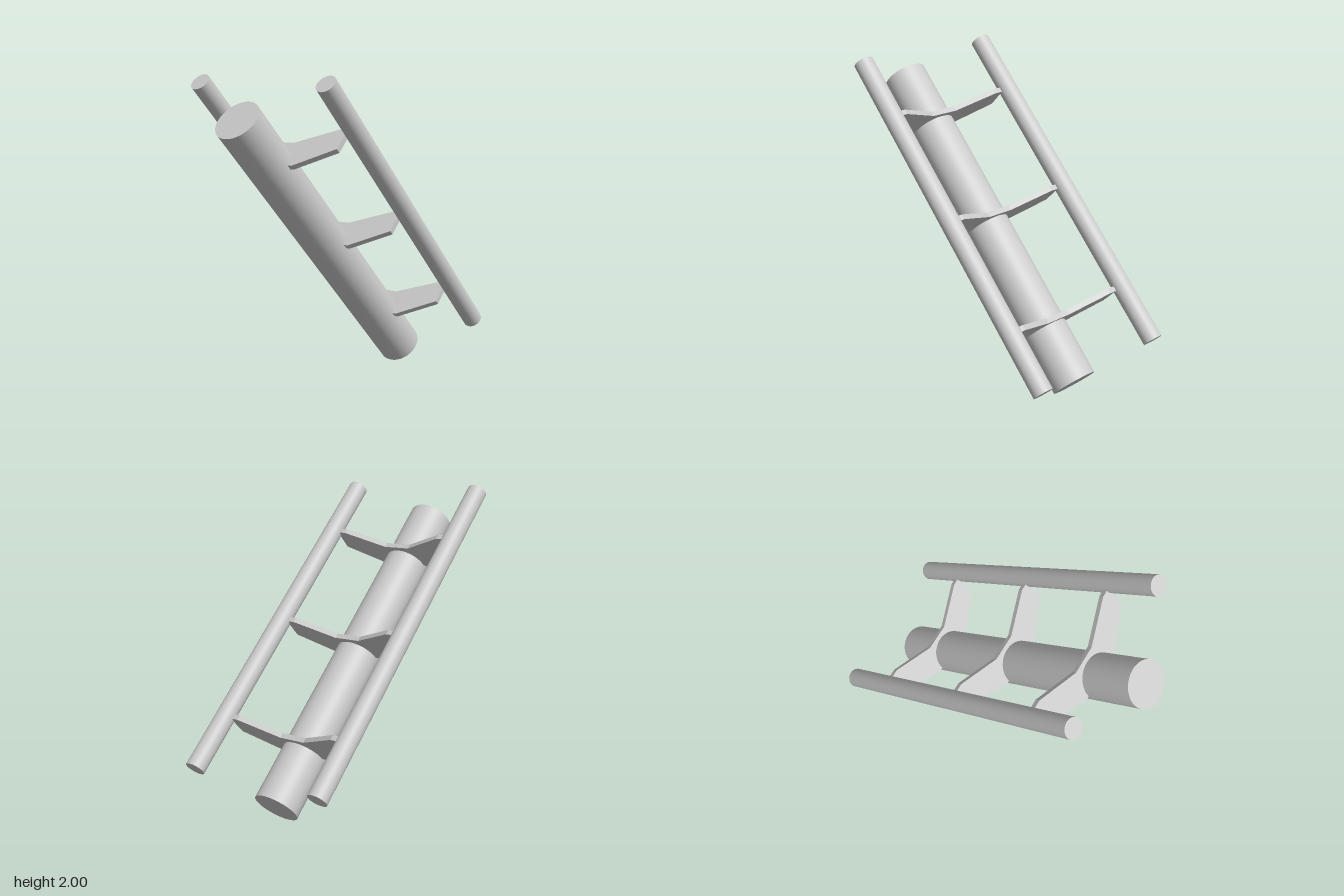
import * as THREE from 'three';

const LENGTH = 2.33;

export function createModel() {
  const model = new THREE.Group();
  model.name = 'pipeWithRails';
  const material = new THREE.MeshStandardMaterial({ color: 0xcccccc });

  // Tilted frame: local y runs along the pipe, local x points from pipe to rails
  const frame = new THREE.Group();
  frame.name = 'tiltedAssembly';
  frame.position.set(-0.075, 0.925, 0);
  frame.rotation.z = Math.PI / 4;
  model.add(frame);

  const add = (name, geometry, x, y, z) => {
    const mesh = new THREE.Mesh(geometry, material);
    mesh.name = name;
    mesh.position.set(x, y, z);
    frame.add(mesh);
  };

  // Main pipe
  add('mainPipe', new THREE.CylinderGeometry(0.143, 0.143, LENGTH, 64), 0, 0, 0.008);

  // Pair of side rails
  const railGeometry = new THREE.CylinderGeometry(0.063, 0.063, LENGTH, 48);
  add('leftRail', railGeometry, 0.291, 0, -0.483);
  add('rightRail', railGeometry, 0.291, 0, 0.483);

  // Winged bracket plate: half outline as (height, sideways), mirrored
  const half = [[0.172, 0.092], [0.293, 0.37], [0.293, 0.426], [0.146, 0.426], [0, 0.172]];
  const outline = [
    ...half,
    ...half.map(([h, s]) => [h, -s]).reverse(),
  ].map(([h, s]) => new THREE.Vector2(h, s));
  const thickness = 0.034;
  const bracketGeometry = new THREE.ExtrudeGeometry(new THREE.Shape(outline), {
    depth: thickness, bevelEnabled: false,
  });
  bracketGeometry.translate(0, 0, -thickness / 2).rotateX(Math.PI / 2);

  // Three brackets spaced along the pipe
  ['lower', 'middle', 'upper'].forEach((place, i) => {
    add(`${place}Bracket`, bracketGeometry, 0, (i - 1) * 0.768, 0.006);
  });

  return model;
}
